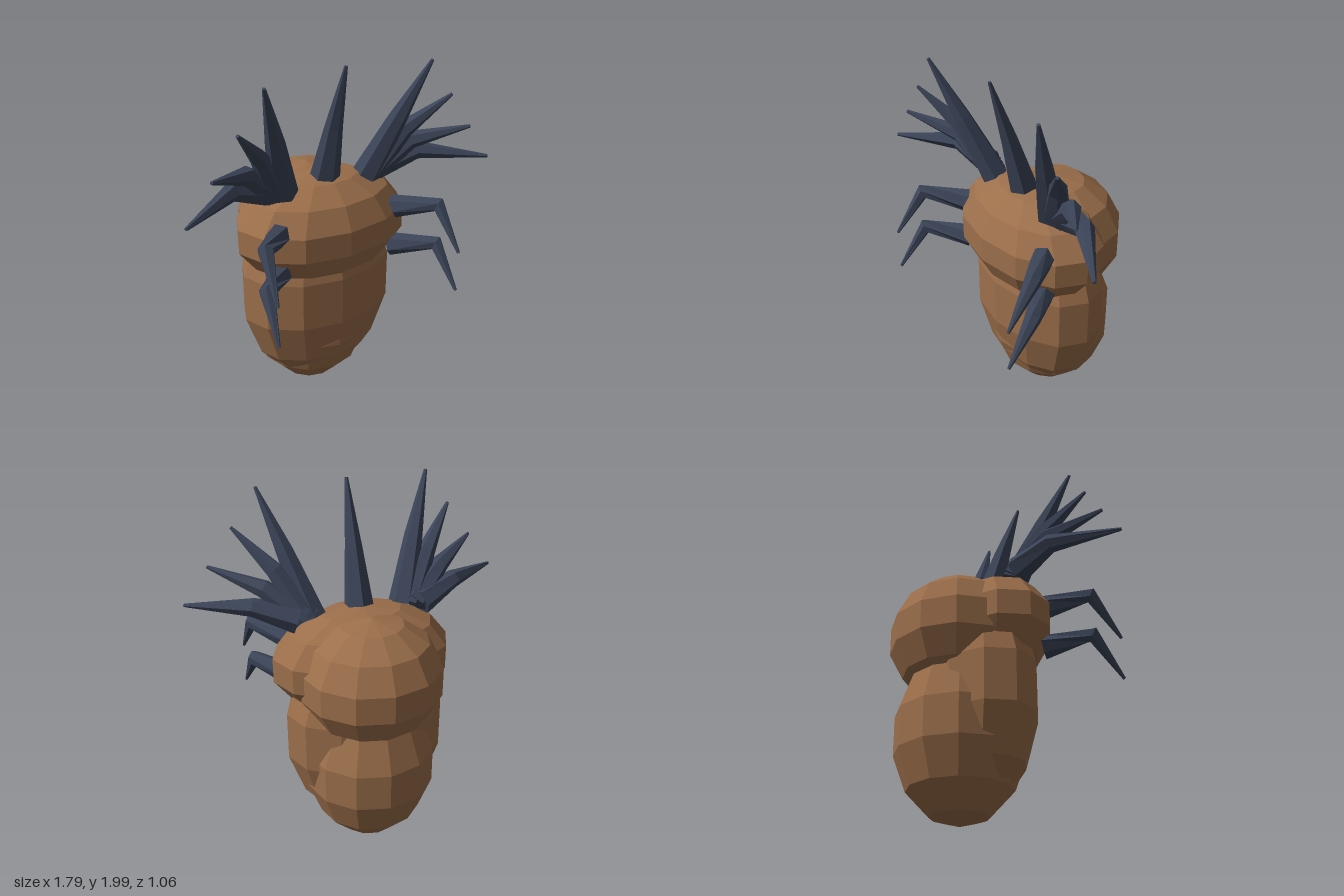
import * as THREE from 'three';

const shell = new THREE.MeshStandardMaterial({ color: 0x9c6f4b, flatShading: true });
const horn = new THREE.MeshStandardMaterial({ color: 0x3b4458, flatShading: true });

// Faceted ellipsoid: 12 sides, 7 rows
function lobe(name, center, radii) {
  const mesh = new THREE.Mesh(new THREE.SphereGeometry(1, 12, 7).scale(...radii), shell);
  mesh.position.set(...center);
  mesh.name = name;
  return mesh;
}

// Six-sided tapering limb through a few points, with mitred rings and closed ends
function limb(name, path, radii, sides = 6) {
  const pts = path.map((p) => new THREE.Vector3(...p));
  const last = pts.length - 1;
  const pos = [], index = [];
  pts.forEach((p, i) => {
    const dir = new THREE.Vector3();
    if (i > 0) dir.add(p.clone().sub(pts[i - 1]).normalize());
    if (i < last) dir.add(pts[i + 1].clone().sub(p).normalize());
    dir.normalize();
    const u = new THREE.Vector3(0, 0, 1).addScaledVector(dir, -dir.z).normalize();
    const v = dir.clone().cross(u);
    for (let k = 0; k < sides; k++) {
      const a = (k / sides) * Math.PI * 2;
      const q = p.clone()
        .addScaledVector(u, Math.cos(a) * radii[i])
        .addScaledVector(v, Math.sin(a) * radii[i]);
      pos.push(q.x, q.y, q.z);
    }
  });
  for (let i = 0; i < last; i++) {
    for (let k = 0; k < sides; k++) {
      const a = i * sides + k, b = i * sides + ((k + 1) % sides);
      index.push(a, b, b + sides, a, b + sides, a + sides);
    }
  }
  const end = last * sides;
  for (let k = 1; k < sides - 1; k++) {
    index.push(0, k + 1, k);
    index.push(end, end + k, end + k + 1);
  }
  const geo = new THREE.BufferGeometry();
  geo.setAttribute('position', new THREE.Float32BufferAttribute(pos, 3));
  geo.setIndex(index);
  geo.computeVertexNormals();
  const mesh = new THREE.Mesh(geo, horn);
  mesh.name = name;
  return mesh;
}

export function createModel() {
  const model = new THREE.Group();
  model.name = 'hornedBeetle';

  // Overlapping body lobes
  model.add(
    lobe('head', [0, 1.07, -0.01], [0.51, 0.31, 0.325]),
    lobe('headBack', [0, 1.025, -0.17], [0.4, 0.35, 0.37]),
    lobe('chest', [0, 0.68, -0.07], [0.46, 0.62, 0.308]),
    lobe('abdomen', [0, 0.483, -0.145], [0.37, 0.475, 0.354]),
  );

  // Single spike on the crown
  model.add(limb('crownSpike', [[0, 1.36, 0.035], [0, 1.66, 0.12], [0, 2, 0.23]], [0.08, 0.047, 0.009]));

  for (const [side, s] of [['left', 1], ['right', -1]]) {
    // Fan of four bent spikes from one root
    for (let i = 0; i < 4; i++) {
      const root = [s * (0.255 + 0.03 * i), 1.325 + 0.005 * i, 0.045 - 0.012 * i];
      const bend = [s * (0.36 + 0.068 * i), 1.66 - 0.083 * i, 0.17 - 0.03 * i];
      const tip = [s * (0.47 + 0.14 * i), 1.98 - 0.2 * i, 0.29];
      model.add(limb(`${side}FanSpike${i + 1}`, [root, bend, tip], [0.078, 0.05, 0.009]));
    }
    // Two hooked legs, one above the other
    for (let i = 0; i < 2; i++) {
      const y = -0.232 * i;
      model.add(limb(`${side}Leg${i + 1}`,
        [[s * 0.345, 1.15 + y, 0.16], [s * 0.52, 1.195 + y, 0.355], [s * 0.545, 0.97 + y, 0.52]],
        [0.065, 0.044, 0.008]));
    }
  }
  return model;
}
